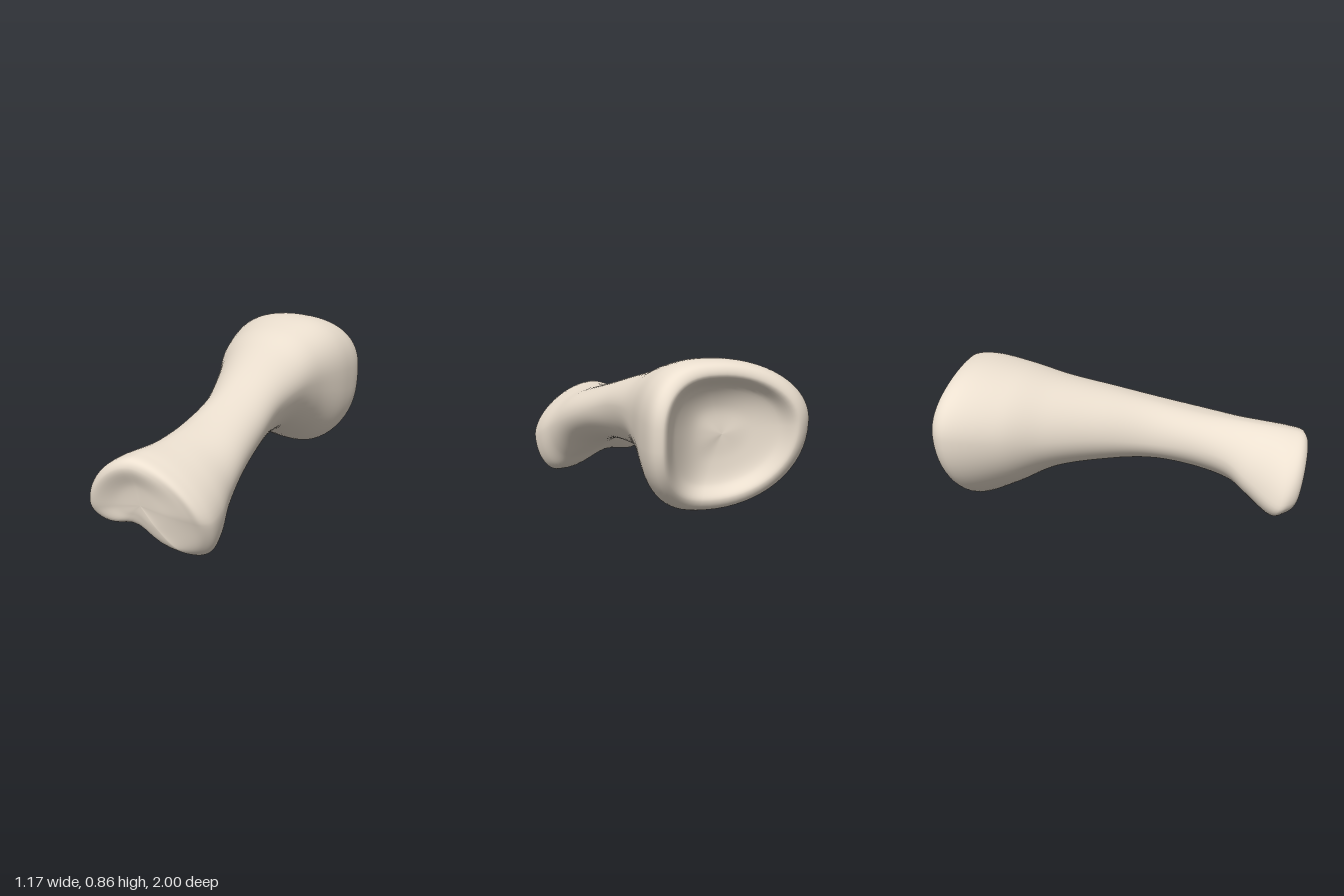
import * as THREE from 'three';

const SIDES = 64;
const STEPS = 120;

// Cross-sections from back to front. Each is joined from its four extreme points [x, y].
// z: [middle, cos, sin, cos2] bends the ring out of its plane.
// power: [right, left, upper] roundness, below 1 is fuller and above 1 more pointed.
const head = { z: [-0.78, 0, -0.02, -0.03], left: [-0.585, 0.55], right: [0.255, 0.52], top: [-0.1, 0.86], bottom: [-0.08, 0.105], power: [0.78, 0.97, 1] };
const shaft = [
  { z: [-0.55, 0, 0, 0], left: [-0.48, 0.52], right: [0.25, 0.55], top: [-0.07, 0.825], bottom: [-0.1, 0.18], power: [0.88, 1, 1] },
  { z: [-0.35, 0, 0, 0], left: [-0.34, 0.5], right: [0.265, 0.56], top: [-0.02, 0.765], bottom: [-0.03, 0.27] },
  { z: [-0.1, 0, 0, 0], left: [-0.18, 0.48], right: [0.305, 0.53], top: [0.06, 0.695], bottom: [0.06, 0.302] },
  { z: [0.15, 0, 0, 0], left: [-0.05, 0.44], right: [0.38, 0.46], top: [0.13, 0.625], bottom: [0.16, 0.298] },
  { z: [0.4, 0, 0, 0], left: [0.01, 0.4], right: [0.46, 0.38], top: [0.18, 0.565], bottom: [0.28, 0.23] },
  { z: [0.57, 0, 0, 0], left: [0.015, 0.35], right: [0.515, 0.3], top: [0.2, 0.54], bottom: [0.38, 0.115], notch: 0.03, power: [1, 1, 1.1] },
  { z: [0.69, 0, 0.03, 0], left: [-0.02, 0.27], right: [0.565, 0.24], top: [0.21, 0.525], bottom: [0.44, 0.03], notch: 0.06, power: [1, 1, 1.15] },
];
const knuckle = { z: [0.825, -0.05, 0.07, 0.015], left: [-0.115, 0.18], right: [0.583, 0.21], top: [0.21, 0.515], bottom: [0.45, 0], notch: 0.085, power: [1, 1, 1.2] };

// Shrinks a section towards its middle and gives it a new bend
const inset = (section, scale, z) => ({ ...section, scale, z });

const sections = [
  // shallow socket and its thick saddle-shaped rim
  inset(head, 0, [-0.75, 0, 0, 0]),
  inset(head, 0.35, [-0.762, -0.01, 0, -0.01]),
  inset(head, 0.64, [-0.82, -0.035, -0.015, -0.03]),
  inset(head, 0.82, [-0.9, -0.05, -0.03, -0.045]),
  inset(head, 0.94, [-0.878, -0.045, -0.03, -0.04]),
  head,
  ...shaft,
  knuckle,
  // rounded front face
  inset(knuckle, 0.93, [0.885, -0.05, 0.08, 0.005]),
  inset(knuckle, 0.78, [0.918, -0.055, 0.06, 0]),
  inset(knuckle, 0.4, [0.922, -0.016, 0.018, 0]),
  inset(knuckle, 0, [0.922, 0, 0, 0]),
];

function sectionPoint({ z, left, right, top, bottom, notch = 0, scale = 1, power = [1, 1, 1] }, angle) {
  const c = Math.cos(angle), s = Math.sin(angle);
  const side = c > 0 ? right : left;
  const cap = s > 0 ? top : bottom;
  const p = (c > 0 ? power[0] : power[1]) * (s > 0 ? power[2] : 1);
  let x = cap[0] + (side[0] - cap[0]) * Math.abs(c) ** p;
  let y = side[1] + (cap[1] - side[1]) * Math.abs(s) ** p;
  // groove between the two knuckles
  if (s < 0) y += notch * Math.exp(-(((x - 0.16) / 0.14) ** 2)) * Math.min(1, -2 * s);
  const mx = (left[0] + right[0]) / 2, my = (top[1] + bottom[1]) / 2;
  x = mx + (x - mx) * scale;
  y = my + (y - my) * scale;
  return new THREE.Vector3(x, y, z[0] + z[1] * c + z[2] * s + z[3] * Math.cos(2 * angle));
}

// Smooth skin: a spline runs through the sections at every angle
function loft() {
  const positions = [], index = [];
  const splines = [];
  for (let j = 0; j < SIDES; j++) {
    const angle = (j / SIDES) * Math.PI * 2;
    splines.push(new THREE.CatmullRomCurve3(sections.map((s) => sectionPoint(s, angle))));
  }
  for (let i = 0; i <= STEPS; i++) {
    for (const spline of splines) positions.push(...spline.getPoint(i / STEPS).toArray());
  }
  for (let i = 0; i < STEPS; i++) {
    for (let j = 0; j < SIDES; j++) {
      const k = (j + 1) % SIDES;
      const a = i * SIDES + j, b = i * SIDES + k;
      index.push(a, b, a + SIDES, b, b + SIDES, a + SIDES);
    }
  }
  const geometry = new THREE.BufferGeometry();
  geometry.setAttribute('position', new THREE.Float32BufferAttribute(positions, 3));
  geometry.setIndex(index);
  geometry.computeVertexNormals();
  return geometry;
}

export function createModel() {
  const group = new THREE.Group();
  group.name = 'bone';
  const bone = new THREE.Mesh(loft(), new THREE.MeshStandardMaterial({ color: 0xece0d0 }));
  bone.name = 'boneBody';
  group.add(bone);
  return group;
}
